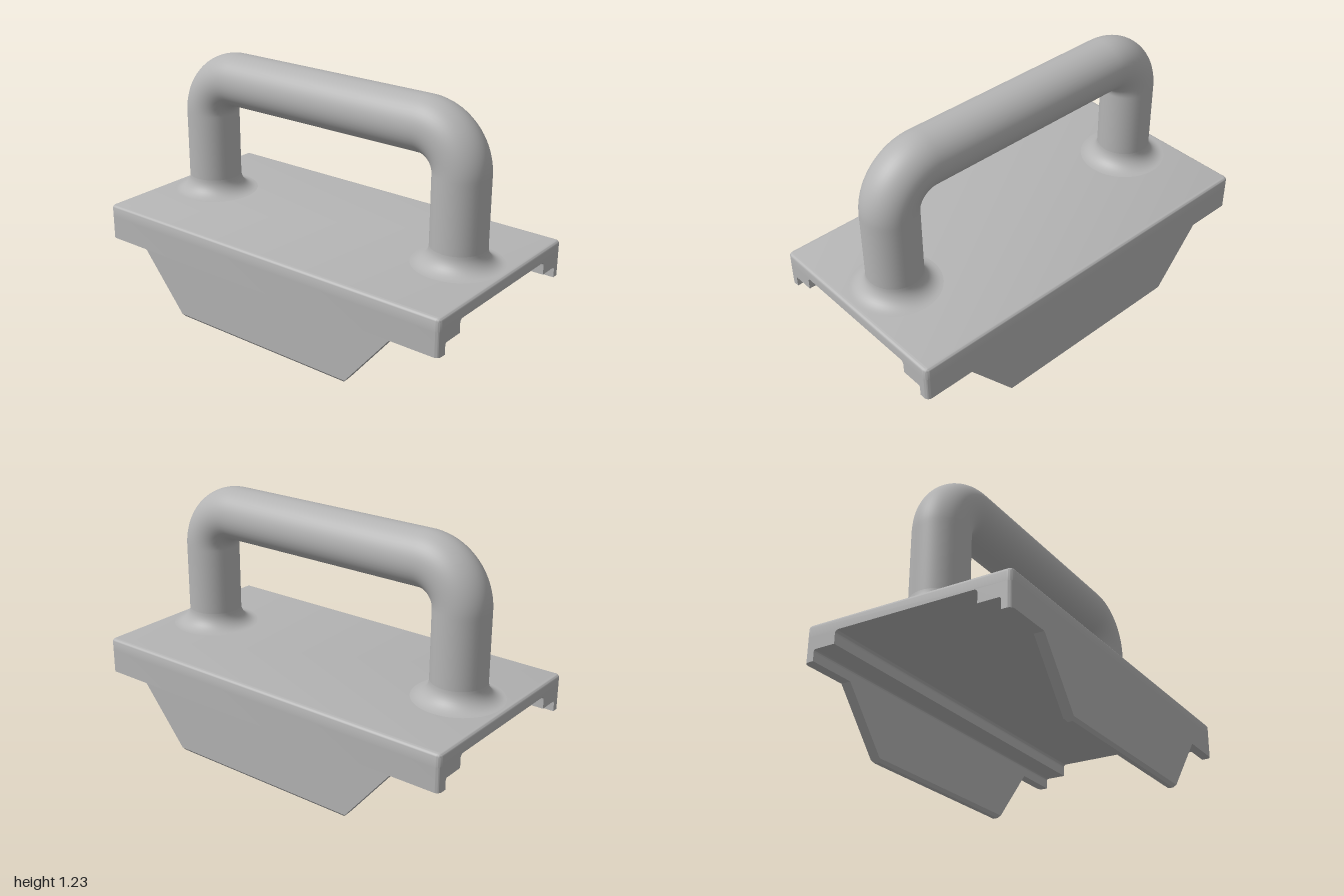
import * as THREE from 'three';
import { toCreasedNormals } from 'three/addons/utils/BufferGeometryUtils.js';

const steel = new THREE.MeshStandardMaterial({ color: 0xb4b4b4 });
steel.name = 'grey';

const L = 1, W = 0.52, IN = 0.47; // half length, half width, inner face of the flanges
const TOP = 0.48, UNDER = 0.42, RAIL = 0.3, R = 0.025;

function part(name, geometry, crease = 0.6) {
  const mesh = new THREE.Mesh(toCreasedNormals(geometry, crease), steel);
  mesh.name = name;
  return mesh;
}

const flat = (shape, depth) =>
  new THREE.ExtrudeGeometry(shape, { depth, bevelEnabled: false, curveSegments: 10 });

// Plate with rounded corners, a rounded upper rim and a flat underside
function plate() {
  const s = new THREE.Shape();
  s.absarc(L - R, W - R, R, 0, Math.PI / 2);
  s.absarc(-L + R, W - R, R, Math.PI / 2, Math.PI);
  s.absarc(-L + R, -W + R, R, Math.PI, Math.PI * 1.5);
  s.absarc(L - R, -W + R, R, Math.PI * 1.5, Math.PI * 2);
  const b = 0.018;
  const g = new THREE.ExtrudeGeometry(s, {
    depth: TOP - UNDER - b, bevelThickness: b, bevelSize: b, bevelOffset: -b,
    bevelSegments: 5, curveSegments: 6,
  });
  g.rotateX(-Math.PI / 2).translate(0, UNDER, 0);
  const p = g.attributes.position;
  for (let i = 0; i < p.count; i++) p.setY(i, Math.max(p.getY(i), UNDER));
  return part('plate', g);
}

// One long side: rail, inner step and hanging flange, built at +z
function side(name) {
  const group = new THREE.Group();
  group.name = name;

  // Full-length rail with rounded outer corners
  const rail = new THREE.Shape();
  rail.moveTo(-L, -IN);
  rail.lineTo(-L, -W + R);
  rail.absarc(-L + R, -W + R, R, Math.PI, Math.PI * 1.5);
  rail.absarc(L - R, -W + R, R, Math.PI * 1.5, Math.PI * 2);
  rail.lineTo(L, -IN);
  group.add(part('rail', flat(rail, UNDER - RAIL).rotateX(-Math.PI / 2).translate(0, RAIL, 0)));

  // Inner step with small fillets
  const step = new THREE.Shape();
  step.moveTo(-0.34, UNDER);
  step.quadraticCurveTo(-0.36, UNDER, -0.36, 0.4);
  step.lineTo(-0.36, 0.355);
  step.lineTo(-0.458, 0.355);
  step.quadraticCurveTo(-IN, 0.355, -IN, 0.343);
  step.lineTo(-IN, UNDER);
  group.add(part('innerStep', flat(step, 2 * L).rotateY(Math.PI / 2).translate(-L, 0, 0)));

  // Tapered flange with two slots
  const c = 0.015, xc = 0.5 + c * 0.25 / RAIL;
  const flange = new THREE.Shape();
  flange.moveTo(-xc, c);
  flange.lineTo(xc, c);
  flange.lineTo(0.75, RAIL);
  flange.lineTo(-0.75, RAIL);
  for (const x of [-0.32, 0.32]) {
    const slot = new THREE.Path();
    slot.absarc(x, 0.133, 0.045, 0, Math.PI);
    slot.absarc(x, 0.11, 0.045, Math.PI, Math.PI * 2);
    slot.closePath();
    flange.holes.push(slot);
  }
  group.add(part('flange', flat(flange, W - IN).translate(0, 0, IN)));

  // Chamfered lower edge of the flange
  const edge = new THREE.Shape();
  edge.moveTo(-0.5, 0);
  edge.lineTo(0.5, 0);
  edge.lineTo(xc, c);
  edge.lineTo(-xc, c);
  const g = flat(edge, W - IN).translate(0, 0, IN);
  const p = g.attributes.position, mid = (W + IN) / 2;
  for (let i = 0; i < p.count; i++) {
    if (p.getY(i) < c / 2) p.setZ(i, p.getZ(i) - Math.sign(p.getZ(i) - mid) * 0.013);
  }
  group.add(part('flangeEdge', g));
  return group;
}

// Round bar bent into a grip, with a flared foot at each end
function handle() {
  const group = new THREE.Group();
  group.name = 'handle';
  const X = 0.755, Y = 1.1, B = 0.195, K = B * 0.4477, r = 0.134;
  const v = (x, y) => new THREE.Vector3(x, y, 0);
  const path = new THREE.CurvePath();
  path.add(new THREE.LineCurve3(v(-X, TOP - 0.01), v(-X, Y - B)));
  path.add(new THREE.CubicBezierCurve3(v(-X, Y - B), v(-X, Y - K), v(-X + K, Y), v(-X + B, Y)));
  path.add(new THREE.LineCurve3(v(-X + B, Y), v(X - B, Y)));
  path.add(new THREE.CubicBezierCurve3(v(X - B, Y), v(X - K, Y), v(X, Y - K), v(X, Y - B)));
  path.add(new THREE.LineCurve3(v(X, Y - B), v(X, TOP - 0.01)));
  const grip = new THREE.Mesh(new THREE.TubeGeometry(path, 160, r, 48), steel);
  grip.name = 'grip';
  group.add(grip);

  const f = 0.085, profile = [];
  for (let i = 0; i <= 10; i++) {
    const a = (i / 10) * Math.PI / 2;
    profile.push(new THREE.Vector2(r + f - f * Math.sin(a), TOP + f - f * Math.cos(a)));
  }
  for (const x of [-X, X]) {
    const foot = new THREE.Mesh(new THREE.LatheGeometry(profile, 48), steel);
    foot.name = 'foot';
    foot.position.x = x;
    group.add(foot);
  }
  return group;
}

export function createModel() {
  const model = new THREE.Group();
  model.name = 'handledBracket';
  const back = side('backSide');
  back.rotation.y = Math.PI;
  model.add(plate(), side('frontSide'), back, handle());
  return model;
}
